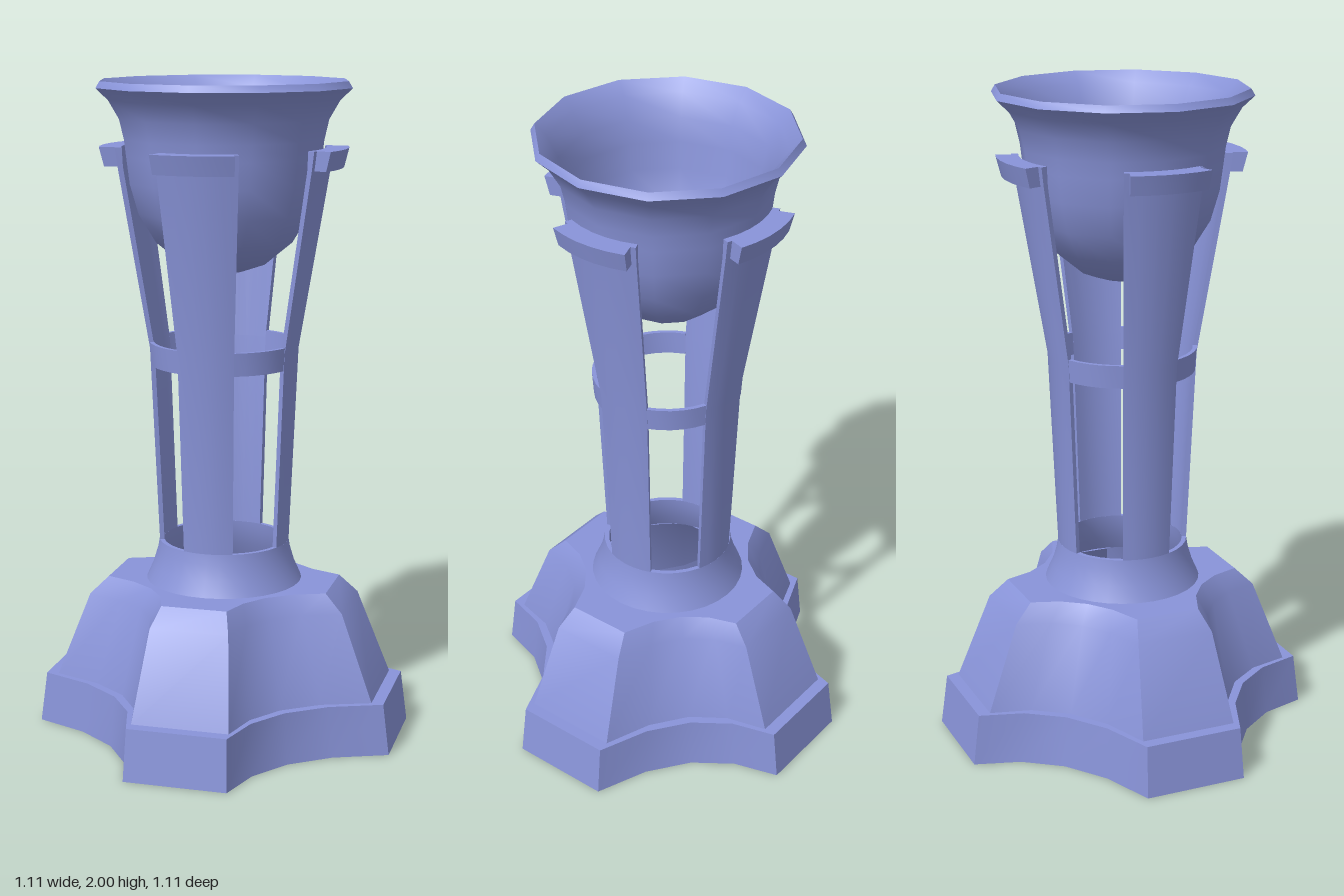
import * as THREE from 'three';
import { mergeGeometries, toCreasedNormals } from 'three/addons/utils/BufferGeometryUtils.js';

const material = new THREE.MeshStandardMaterial({ color: 0x8994d9, side: THREE.DoubleSide });
const vec = ([x, y]) => new THREE.Vector2(x, y);

function addMesh(parent, name, geometry, crease = 0.65) {
  const mesh = new THREE.Mesh(toCreasedNormals(geometry, crease), material);
  mesh.name = name;
  parent.add(mesh);
}

// A closed (radius, height) profile swept around y from one angle, with flat ends
function sector(profile, centre, halfAngle, segments) {
  const points = profile.map(vec);
  const sweep = new THREE.LatheGeometry(
    [...points, points[0].clone()], segments, centre - halfAngle, halfAngle * 2);
  const ends = [-1, 1].map((side) => {
    const cap = new THREE.ShapeGeometry(new THREE.Shape(points));
    if (side > 0) {
      // reverse the winding so this end faces outwards
      cap.setIndex(Array.from(cap.index.array).reverse());
    }
    return cap.rotateY(centre + side * halfAngle - Math.PI / 2);
  });
  return mergeGeometries([sweep, ...ends].map((g) => g.toNonIndexed()));
}

// Cross-shaped outline: flat arm ends joined by concave curves
function crossRing([y, reach, half, cx, cz]) {
  const curve = new THREE.QuadraticBezierCurve(
    new THREE.Vector2(half, reach), new THREE.Vector2(cx, cz), new THREE.Vector2(reach, half));
  const quarter = [0, 0.25, 0.5, 0.75, 1].map((t) => curve.getPoint(t));
  const back = [...quarter].reverse();
  const place = (list, sx, sz) => list.map((p) => [p.x * sx, y, p.y * sz]);
  return [...place(quarter, 1, 1), ...place(back, 1, -1),
    ...place(quarter, -1, -1), ...place(back, -1, 1)];
}

function loft(levels) {
  const rings = levels.map(crossRing);
  const n = rings[0].length;
  const positions = [];
  for (let k = 0; k < rings.length - 1; k++) {
    for (let i = 0; i < n; i++) {
      const j = (i + 1) % n;
      const a = rings[k][i], b = rings[k][j], c = rings[k + 1][j], d = rings[k + 1][i];
      positions.push(...a, ...b, ...c, ...a, ...c, ...d);
    }
  }
  const geometry = new THREE.BufferGeometry();
  geometry.setAttribute('position', new THREE.Float32BufferAttribute(positions, 3));
  return geometry;
}

export function createModel() {
  const model = new THREE.Group();
  model.name = 'trophy';

  // Hollow base: plinth band, ledge, sloping skirt and a top open under the collar
  // [height, arm reach, arm half width, curve control x, z]
  addMesh(model, 'base', loft([
    [0, 0.557, 0.157, 0.198, 0.26],
    [0.157, 0.537, 0.152, 0.188, 0.25],
    [0.157, 0.5, 0.148, 0.172, 0.232],
    [0.42, 0.4, 0.12, 0.15, 0.18],
    [0.475, 0.345, 0.1, 0.135, 0.16],
    [0.475, 0.215, 0.08, 0.165, 0.165],
  ]));

  // Flared collar on top of the base
  addMesh(model, 'collar', new THREE.LatheGeometry([
    [0.24, 0.475], [0.22, 0.52], [0.205, 0.57], [0.2, 0.6],
    [0.186, 0.6], [0.19, 0.57], [0.205, 0.52], [0.225, 0.475],
  ].map(vec), 32));

  // Four curved legs with outward lips, and the ring pieces between them
  const legHalf = 0.392;
  const legProfile = [
    [0.2, 0.6], [0.226, 1.2], [0.318, 1.747], [0.326, 1.805],
    [0.305, 1.805], [0.302, 1.747], [0.212, 1.2], [0.186, 0.6],
  ];
  const lipProfile = [[0.312, 1.747], [0.357, 1.747], [0.372, 1.805], [0.318, 1.805]];
  const ringProfile = [[0.222, 1.15], [0.227, 1.22], [0.214, 1.22], [0.209, 1.15]];
  for (let i = 0; i < 4; i++) {
    const angle = (i * Math.PI) / 2;
    addMesh(model, 'leg', sector(legProfile, angle, legHalf, 5));
    addMesh(model, 'lip', sector(lipProfile, angle, 0.345, 5));
    addMesh(model, 'ringSegment',
      sector(ringProfile, angle + Math.PI / 4, Math.PI / 4 - legHalf, 5));
  }

  // Twelve-sided bowl: flared underside, thin sloping rim band, open inside
  addMesh(model, 'bowl', new THREE.LatheGeometry([
    [0, 1.43], [0.06, 1.433], [0.125, 1.455], [0.21, 1.525], [0.262, 1.61], [0.288, 1.7],
    [0.298, 1.78], [0.304, 1.83], [0.318, 1.89], [0.35, 1.945], [0.387, 1.98], [0.375, 2],
    [0.342, 1.965], [0.31, 1.9], [0.293, 1.83], [0.283, 1.75], [0.25, 1.62],
    [0.2, 1.54], [0.12, 1.475], [0, 1.455],
  ].map(vec), 12), 0.8);

  return model;
}
